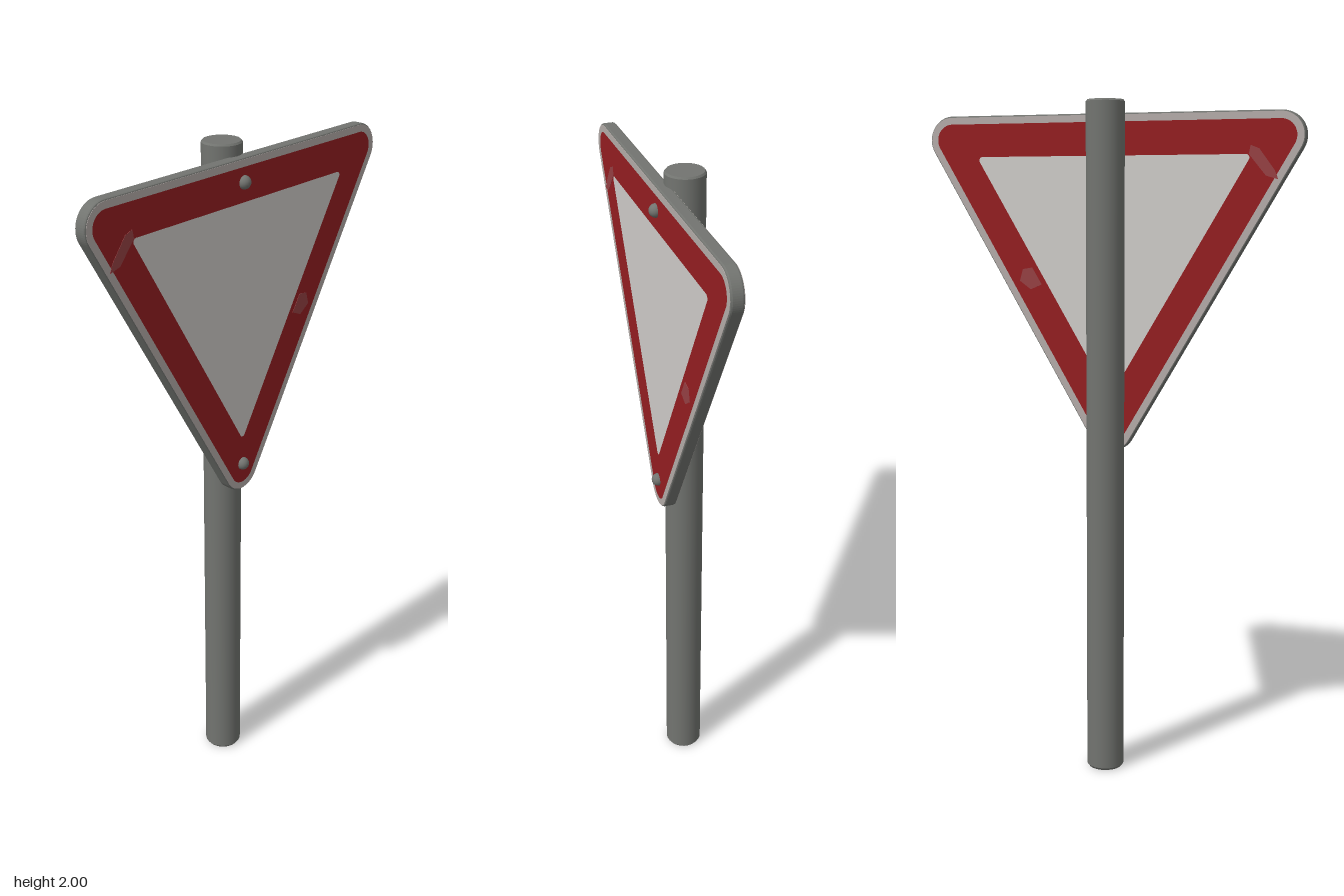
import * as THREE from 'three';

const mat = (name, color) => Object.assign(new THREE.MeshStandardMaterial({ color }), { name });

// Downward triangle with rounded corners, from three arc centres and a radius
function roundedTriangle(halfW, top, bottom, r, Type = THREE.Shape) {
  const s = new Type();
  const a = Math.atan2(top - bottom, halfW) - Math.PI / 2; // slope of the right side's normal
  s.absarc(halfW, top, r, a, Math.PI / 2, false);
  s.absarc(-halfW, top, r, Math.PI / 2, Math.PI - a, false);
  s.absarc(0, bottom, r, Math.PI - a, 2 * Math.PI + a, false);
  s.closePath();
  return s;
}

export function createModel() {
  const group = new THREE.Group();
  const steel = mat('galvanised steel', 0x727470);
  const edge = mat('pale rim', 0xb5adaa);
  const red = mat('red band', 0x951e21);
  const white = mat('white field', 0xd0cdca);
  const scuff = mat('scuffed red', 0x974144);

  const add = (name, geometry, material, x = 0, y = 0, z = 0) => {
    const mesh = new THREE.Mesh(geometry, material);
    mesh.name = name;
    mesh.position.set(x, y, z);
    group.add(mesh);
    return mesh;
  };

  // Post with slightly chamfered ends; doubled points keep the edges crisp
  const R = 0.056;
  const profile = [[0, 0], [R - 0.005, 0], [R - 0.005, 0], [R, 0.007], [R, 0.007],
    [R, 1.995], [R, 1.995], [R - 0.004, 2], [R - 0.004, 2], [0, 2]];
  add('post', new THREE.LatheGeometry(profile.map(p => new THREE.Vector2(...p)), 24), steel, 0, 0, -0.021);

  // Sign plate with a small bevel
  const zBack = 0.022, zFront = 0.058, bevel = 0.005;
  add('signPlate', new THREE.ExtrudeGeometry(roundedTriangle(0.5, 1.895, 1.045, 0.065), {
    depth: zFront - zBack - 2 * bevel, bevelEnabled: true, bevelSize: bevel,
    bevelThickness: bevel, bevelSegments: 2, curveSegments: 12,
  }), steel, 0, 0, zBack + bevel);

  // Nested painted outlines: rim, red band, white field
  const outer = [0.5, 1.895, 1.045, 0.066];
  const middle = [0.5, 1.895, 1.045, 0.046];
  const inner = [0.402, 1.835, 1.158, 0.01];
  const ring = (a, b) => {
    const s = roundedTriangle(...a);
    s.holes.push(roundedTriangle(...b, THREE.Path));
    return s;
  };
  const patch = points => new THREE.Shape(points.map(p => new THREE.Vector2(...p)));
  const paint = [
    ['rim', ring(outer, middle), edge, 0],
    ['redBand', ring(middle, inner), red, 0],
    ['whiteField', roundedTriangle(...inner), white, 0],
    ['cornerScuff', patch([[-0.495, 1.775], [-0.46, 1.785], [-0.41, 1.845], [-0.415, 1.87], [-0.44, 1.86], [-0.485, 1.8]]), scuff, 0.001],
    ['sideScuff', patch([[0.215, 1.47], [0.25, 1.455], [0.285, 1.48], [0.275, 1.515], [0.245, 1.52]]), scuff, 0.001],
  ];
  for (const [name, shape, material, lift] of paint) {
    const options = { depth: 0.001, bevelEnabled: false, curveSegments: 12 };
    add(name + 'Front', new THREE.ExtrudeGeometry(shape, options), material, 0, 0, zFront + lift);
    add(name + 'Back', new THREE.ExtrudeGeometry(shape, options), material, 0, 0, zBack - 0.001 - lift);
  }

  // Domed bolts through the sign into the post
  for (const [name, y] of [['upperBolt', 1.9], ['lowerBolt', 1.06]]) {
    add(name, new THREE.SphereGeometry(0.019, 16, 10), steel, 0, y, 0.06);
  }
  return group;
}
